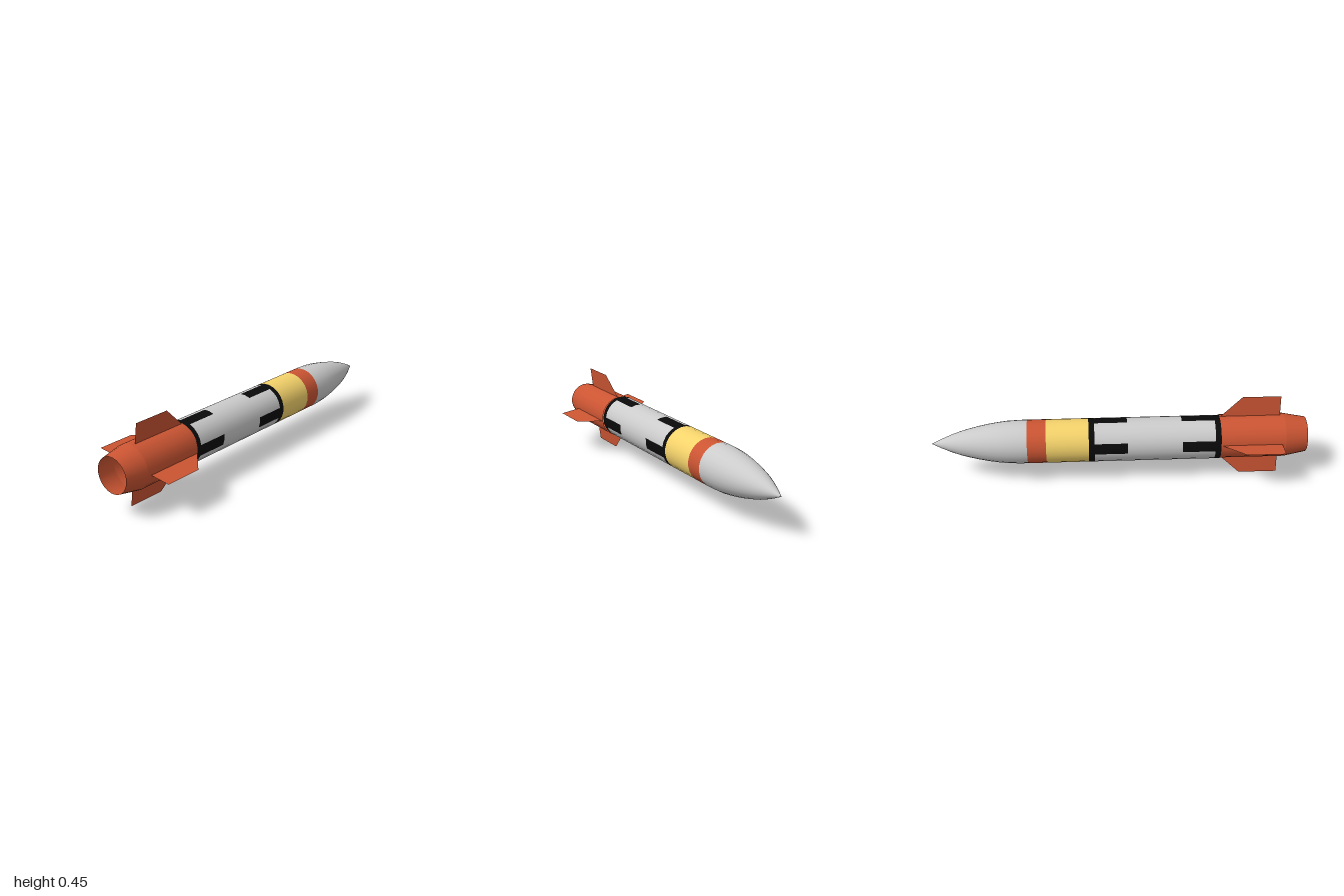
import * as THREE from 'three';

const R = 0.1165, CY = 0.225, SIDES = 24;
const ROLL = THREE.MathUtils.degToRad(7.5); // roll of fins and markings about the long axis
const STEP = (Math.PI * 2) / SIDES;

const paint = (color) => new THREE.MeshStandardMaterial({ color, side: THREE.DoubleSide });

export function createModel() {
  const grey = paint(0xcccccc), orange = paint(0xcc5533), yellow = paint(0xf5d36b), black = paint(0x0a0a0a);

  const model = new THREE.Group();
  const body = new THREE.Group();
  body.name = 'body';
  body.position.set(0, CY, -0.005);
  const tail = new THREE.Group();
  tail.name = 'tail';
  tail.position.set(0, CY, 0);
  model.add(body, tail);

  const add = (parent, name, geometry, material) => {
    const mesh = new THREE.Mesh(geometry, material);
    mesh.name = name;
    parent.add(mesh);
  };

  // Open tube (or an arc of one) along x
  const tube = (x0, x1, r0 = R, r1 = R, start = ROLL, steps = SIDES) =>
    new THREE.CylinderGeometry(r1, r0, x1 - x0, steps, 1, true, start, steps * STEP)
      .rotateZ(-Math.PI / 2)
      .translate((x0 + x1) / 2, 0, 0);

  // Painted bands
  add(body, 'rearBlackBand', tube(-0.535, -0.505), black);
  add(body, 'midSection', tube(-0.33, -0.04), grey);
  add(body, 'frontBlackBand', tube(0.135, 0.165), black);
  add(body, 'yellowBand', tube(0.165, 0.39), yellow);
  add(body, 'orangeBand', tube(0.39, 0.49), orange);

  // Rings of four black blocks alternating with grey panels
  for (const [x0, x1] of [[-0.505, -0.33], [-0.04, 0.135]]) {
    for (let i = 0; i < 4; i++) {
      const a = ROLL + i * Math.PI / 2;
      add(body, 'blackBlock', tube(x0, x1, R, R, a - STEP, 2), black);
      add(body, 'greyPanel', tube(x0, x1, R, R, a + STEP, 4), grey);
    }
  }

  // Pointed nose
  const profile = [[R, 0.49], [R, 0.53], [0.113, 0.6], [0.107, 0.65], [0.099, 0.7], [0.089, 0.75],
    [0.077, 0.8], [0.063, 0.85], [0.045, 0.9], [0.024, 0.95], [0, 1]].map(([r, x]) => new THREE.Vector2(r, x));
  add(body, 'nose', new THREE.LatheGeometry(profile, SIDES, ROLL).rotateZ(-Math.PI / 2), grey);

  // Tail tube with tapered open end
  add(tail, 'tailTube', tube(-0.88, -0.535), orange);
  add(tail, 'tailTaper', tube(-1, -0.88, 0.094, R), orange);

  // Four thin swept fins
  const finShape = new THREE.Shape([[-0.86, 0.112], [-0.535, 0.112], [-0.655, 0.226], [-0.86, 0.226]]
    .map(([x, y]) => new THREE.Vector2(x, y)));
  for (let i = 0; i < 4; i++) {
    const fin = new THREE.ShapeGeometry(finShape).rotateX(ROLL + i * Math.PI / 2);
    add(tail, 'fin', fin, orange);
  }
  return model;
}
